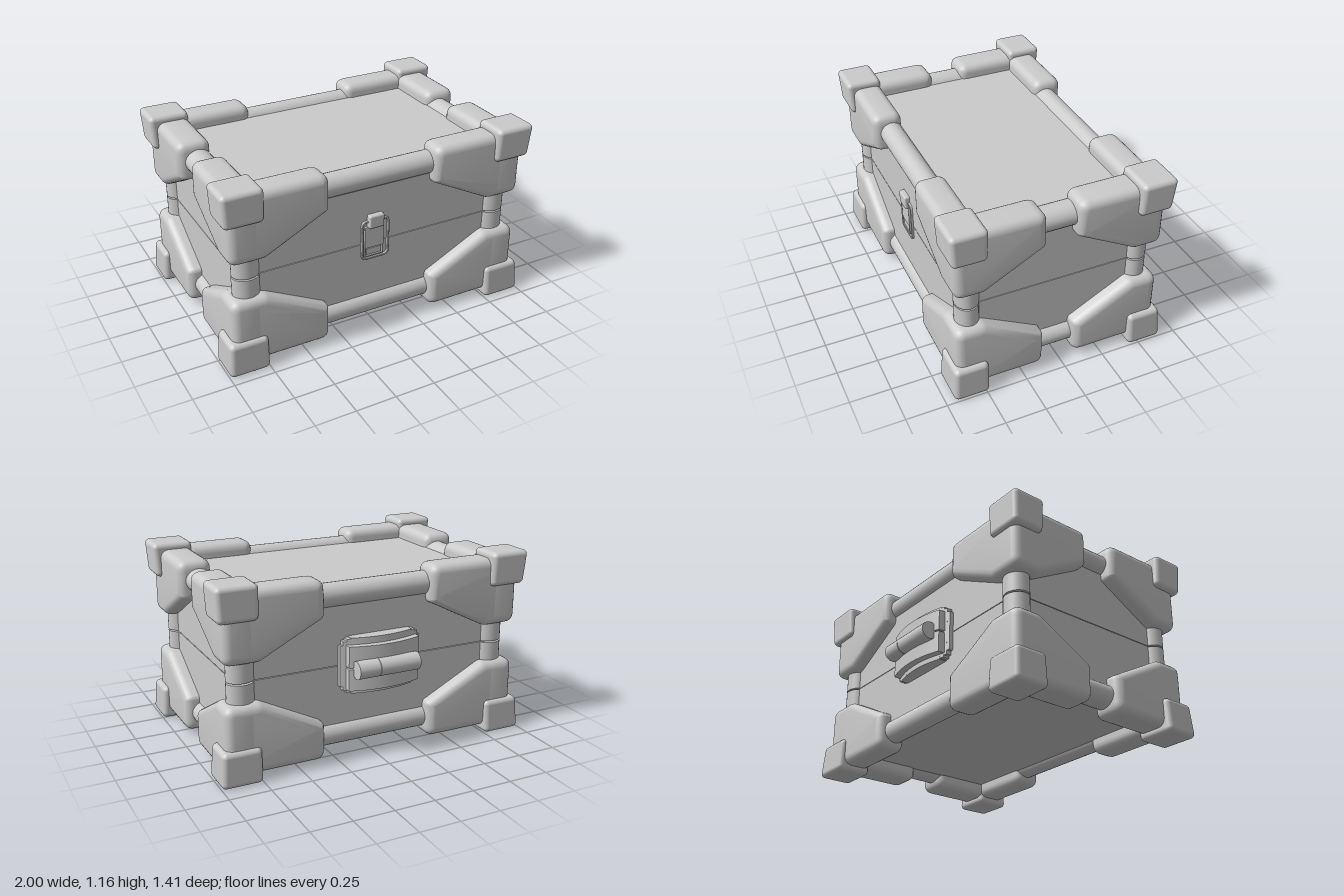
import * as THREE from 'three';
import { toCreasedNormals } from 'three/addons/utils/BufferGeometryUtils.js';
import { RoundedBoxGeometry } from 'three/addons/geometries/RoundedBoxGeometry.js';

const MID = 0.587;                  // height of the lid seam
const ZC = 0.024;                   // centre of the case in z
const material = new THREE.MeshStandardMaterial({ color: 0xcccccc });

function add(parent, name, geometry, x = 0, y = 0, z = 0) {
  const mesh = new THREE.Mesh(geometry, material);
  mesh.name = name;
  mesh.position.set(x, y, z);
  parent.add(mesh);
  return mesh;
}

// Polygon of [x, y, optional corner radius]
function roundedShape(points, r, Type = THREE.Shape) {
  const shape = new Type();
  const p = points.map(([x, y]) => new THREE.Vector2(x, y));
  p.forEach((c, i) => {
    const radius = points[i][2] ?? r;
    const toward = (q) => c.clone().add(q.clone().sub(c).setLength(radius));
    const a = toward(p[(i + p.length - 1) % p.length]);
    const b = toward(p[(i + 1) % p.length]);
    if (i === 0) shape.moveTo(a.x, a.y);
    else shape.lineTo(a.x, a.y);
    shape.quadraticCurveTo(c.x, c.y, b.x, b.y);
  });
  shape.closePath();
  return shape;
}

const rect = (x0, y0, x1, y1) => [[x0, y0], [x1, y0], [x1, y1], [x0, y1]];

// Extrusion centred on its own thickness, bevelled inside the outline
function slab(shape, thickness, bevel) {
  const g = new THREE.ExtrudeGeometry(shape, {
    depth: thickness - 2 * bevel, bevelEnabled: bevel > 0, bevelThickness: bevel,
    bevelSize: bevel, bevelOffset: -bevel, bevelSegments: 5, curveSegments: 6,
  });
  g.translate(0, 0, -(thickness - 2 * bevel) / 2);
  return toCreasedNormals(g, 0.6);
}

// Strip bowed outward toward the back; all strips share one curvature
function bowedPlate(half, zPeak, y0, y1) {
  const sag = 0.756 * half * half;
  const s = new THREE.Shape();
  s.moveTo(-half, 0.5);
  s.lineTo(half, 0.5);
  s.lineTo(half, -zPeak - sag);
  s.quadraticCurveTo(0, -zPeak + sag, -half, -zPeak - sag);
  s.closePath();
  const g = new THREE.ExtrudeGeometry(s, { depth: y1 - y0, bevelEnabled: false, curveSegments: 16 });
  g.rotateX(-Math.PI / 2);
  g.translate(0, y0, 0);
  return toCreasedNormals(g, 0.5);
}

// Corner block whose outer sides lean in toward the seam
function cornerBlock(sx, sz, v) {
  const g = new RoundedBoxGeometry(0.25, 0.21, 0.22, 4, 0.03);
  const p = g.attributes.position;
  for (let i = 0; i < p.count; i++) {
    const t = 0.5 - v * p.getY(i) / 0.21;
    p.setX(i, p.getX(i) - sx * 0.014 * t * (0.5 + sx * p.getX(i) / 0.25));
    p.setZ(i, p.getZ(i) - sz * 0.014 * t * (0.5 + sz * p.getZ(i) / 0.22));
  }
  return g;
}

export function createModel() {
  const chest = new THREE.Group();
  chest.name = 'chest';

  // Base and lid, with a shallow seam closed by an inner core
  const h = 0.455;
  add(chest, 'base', new THREE.BoxGeometry(1.73, h, 1.124), 0, MID - 0.002 - h / 2, ZC);
  add(chest, 'lid', new THREE.BoxGeometry(1.73, h, 1.124), 0, MID + 0.002 + h / 2, ZC);
  add(chest, 'core', new THREE.BoxGeometry(1.52, 0.1, 0.92), 0, MID, ZC);

  for (const v of [-1, 1]) {
    const half = new THREE.Group();
    half.name = v < 0 ? 'lowerFrame' : 'upperFrame';
    chest.add(half);
    const Y = (y) => (v < 0 ? y : 2 * MID - y);

    // Round rails along the edges
    for (const s of [-1, 1]) {
      const long = new THREE.CylinderGeometry(0.071, 0.071, 1.6, 24).rotateZ(Math.PI / 2);
      add(half, 'longRail', long, 0, Y(0.163), ZC + s * 0.528);
      const short = new THREE.CylinderGeometry(0.071, 0.071, 1.05, 24).rotateX(Math.PI / 2);
      short.scale(1.15, 1, 1);
      add(half, 'shortRail', short, s * 0.832, Y(0.163), ZC);
    }

    for (const sx of [-1, 1]) for (const sz of [-1, 1]) {
      // Upright post, stopping short of the seam
      const post = new THREE.CylinderGeometry(0.071, 0.071, 0.4, 24).scale(1.15, 1, 1);
      add(half, 'post', post, sx * 0.828, MID + v * 0.205, ZC + sz * 0.53);

      // Two tapered guards forming an L around the corner
      const wide = [[0.955, 0.045], [0.345, 0.045], [0.345, 0.268, 0.02], [0.74, 0.468, 0.02], [0.955, 0.468]];
      add(half, 'longGuard',
        slab(roundedShape(wide.map(([x, y, r]) => [sx * x, Y(y), r]), 0.06), 0.185, 0.05),
        0, 0, ZC + sz * 0.547);
      const deep = [[0.64, 0.045], [0.096, 0.045], [0.096, 0.268, 0.02], [0.465, 0.468, 0.02], [0.64, 0.468]];
      add(half, 'shortGuard',
        slab(roundedShape(deep.map(([z, y, r]) => [ZC + sz * z, Y(y), r]), 0.06), 0.207, 0.05).rotateY(-Math.PI / 2),
        sx * 0.852, 0, 0);

      add(half, 'cornerBlock', cornerBlock(sx, sz, v), sx * 0.875, Y(0.111), ZC + sz * 0.566);
    }
  }

  // Front latch: wire loop, lever, keeper and hook
  const latch = new THREE.Group();
  latch.name = 'latch';
  chest.add(latch);
  const loop = roundedShape(rect(-0.11, 0.48, 0.075, 0.74), 0.035);
  loop.holes.push(roundedShape(rect(-0.098, 0.492, 0.063, 0.728), 0.025, THREE.Path));
  add(latch, 'latchLoop', slab(loop, 0.02, 0.003), 0, 0, 0.59);
  const lever = roundedShape(rect(-0.088, 0.5, 0.035, 0.7), 0.006);
  lever.holes.push(roundedShape(rect(-0.083, 0.508, 0.03, 0.56), 0.004, THREE.Path));
  add(latch, 'latchLever', slab(lever, 0.022, 0), 0, 0, 0.589);
  add(latch, 'latchKeeper', new THREE.BoxGeometry(0.1, 0.04, 0.016), -0.026, 0.533, 0.588);
  add(latch, 'latchHook', new RoundedBoxGeometry(0.1, 0.085, 0.044, 3, 0.012), -0.02, 0.735, 0.597);

  // Back handle: bowed plate with stepped corners, split mount and round grip
  const handle = new THREE.Group();
  handle.name = 'handle';
  handle.position.x = -0.028;
  chest.add(handle);
  for (const [half, y0, y1] of [[0.2, 0.42, 0.76], [0.225, 0.426, 0.754], [0.245, 0.44, 0.74], [0.262, 0.465, 0.715]]) {
    add(handle, 'handlePlate', bowedPlate(half, -0.615, y0, y1));
  }
  for (const [y0, y1] of [[0.45, 0.582], [0.592, 0.72]]) {
    add(handle, 'handleMount', bowedPlate(0.23, -0.657, y0, y1));
  }
  for (const [x, w] of [[-0.065, 0.262], [0.136, 0.134]]) {
    const grip = new THREE.CylinderGeometry(0.054, 0.054, w, 24).rotateZ(Math.PI / 2);
    add(handle, 'handleGrip', grip, x, 0.587, -0.656);
  }
  return chest;
}
